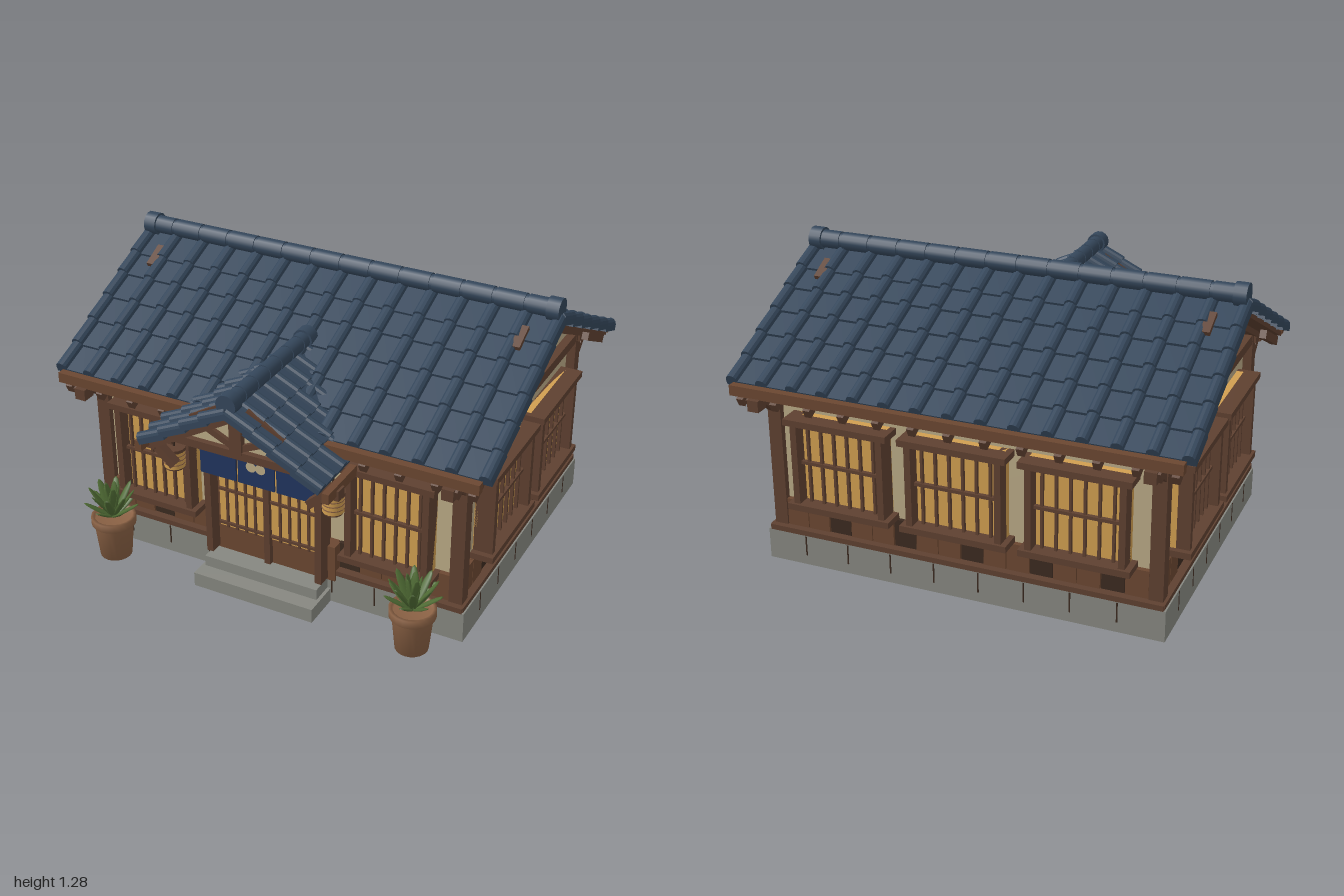
import * as THREE from 'three';

const mat = (name, color) => Object.assign(new THREE.MeshStandardMaterial({ color }), { name });
const M = {
  cream: mat('plaster', 0xb9a985), gold: mat('paper glow', 0xd09e50), wood: mat('timber', 0x5e4030),
  dark: mat('dark timber', 0x3b2a20), plank: mat('plank', 0x6b4731), tile: mat('roof tile', 0x34465a),
  stone: mat('stone', 0x868780), green: mat('leaf', 0x4f6b34), navy: mat('curtain cloth', 0x20345e),
  clay: mat('clay', 0x8a6144),
};
const MID = -0.108; // z of the main ridge

function add(parent, name, geo, m, x = 0, y = 0, z = 0) {
  const mesh = new THREE.Mesh(geo, m);
  mesh.name = name;
  mesh.position.set(x, y, z);
  parent.add(mesh);
  return mesh;
}
const box = (p, name, m, w, h, d, x, y, z) => add(p, name, new THREE.BoxGeometry(w, h, d), m, x, y, z);
function group(parent, name, x = 0, y = 0, z = 0, ry = 0) {
  const g = new THREE.Group();
  g.name = name;
  g.position.set(x, y, z);
  g.rotation.y = ry;
  parent.add(g);
  return g;
}
// square beam between two points of the local XY plane
function beam(p, name, m, x1, y1, x2, y2, t, d, z = 0) {
  const b = box(p, name, m, Math.hypot(x2 - x1, y2 - y1), t, d, (x1 + x2) / 2, (y1 + y2) / 2, z);
  b.rotation.z = Math.atan2(y2 - y1, x2 - x1);
  return b;
}

// tiled slope: ridge along x, falling towards +z, in overlapping ribbed courses
function tiledSlope(parent, name, width, run, slope, courses, gaps, r) {
  const g = group(parent, name);
  g.rotation.x = Math.atan(slope);
  const len = run * Math.hypot(1, slope), step = len / courses, pitch = (width - 2 * r) / gaps;
  const s = new THREE.Shape();
  s.moveTo(-width / 2, -0.025);
  s.lineTo(width / 2, -0.025);
  s.lineTo(width / 2, 0);
  for (let i = gaps; i >= 0; i--) {
    const c = -width / 2 + r + i * pitch;
    for (let k = 0; k <= 6; k++) s.lineTo(c + r * Math.cos(k * Math.PI / 6), r * Math.sin(k * Math.PI / 6));
  }
  const geo = new THREE.ExtrudeGeometry(s, { depth: step + 0.015, bevelEnabled: false });
  for (let k = 0; k < courses; k++) {
    const c = add(g, 'tileCourse', geo, M.tile, 0, -0.004, k * step - (k ? 0.015 : 0));
    c.rotation.x = -0.09;
  }
  box(g, 'roofDeck', M.wood, width - 0.06, 0.02, len - 0.02, 0, -0.034, len / 2 - 0.01);
  return g;
}
// ridge roll along x made of slightly separated segments
function ridgeRoll(parent, width, n, r, y) {
  const step = width / n;
  const roll = (name, rad, len, x) => {
    add(parent, name, new THREE.CylinderGeometry(rad, rad, len, 14), M.tile, x, y, 0).rotation.z = Math.PI / 2;
  };
  roll('ridgeCore', r * 0.88, width, 0);
  for (let i = 0; i < n; i++) roll('ridgeTile', r, step * 0.9, -width / 2 + step * (i + 0.5));
  for (const s of [-1, 1]) roll('ridgeEnd', r * 1.25, 0.055, s * (width / 2 - 0.02));
}

// lattice window standing out towards +z
function latticeWindow(parent, x, y, z, ry, w, h) {
  const g = group(parent, 'window', x, y, z, ry);
  box(g, 'paper', M.gold, w, h, 0.03, 0, 0, 0.02);
  for (const s of [-1, 1]) {
    box(g, 'frameRail', M.wood, w + 0.05, 0.028, 0.1, 0, s * (h / 2 - 0.014), 0.055);
    box(g, 'frameStile', M.wood, 0.028, h, 0.085, s * (w / 2 - 0.014), 0, 0.05);
  }
  for (let i = 1; i < 7; i++) box(g, 'bar', M.wood, 0.011, h - 0.04, 0.015, -w / 2 + (w * i) / 7, 0, 0.05);
  box(g, 'crossBar', M.wood, w - 0.03, 0.014, 0.018, 0, 0, 0.053);
}

// plank skirting, stone joints and beams of one wall, facing +z
function wallTrim(parent, name, x, z, ry, len, baseOut) {
  const g = group(parent, name, x, 0, z, ry);
  const n = Math.round(len / 0.1), w = len / n;
  for (let i = 0; i < n; i++)
    box(g, 'skirtPlank', i % 3 === 2 ? M.dark : M.plank, w - 0.004, 0.125, i % 3 === 2 ? 0.018 : 0.028, -len / 2 + w * (i + 0.5), 0.222, 0.005);
  box(g, 'sill', M.wood, len + 0.14, 0.024, 0.06, 0, 0.15, 0.02);
  box(g, 'wallPlate', M.wood, len + 0.14, 0.045, 0.05, 0, 0.81, 0.01);
  for (let q = -len / 2 + 0.1; q < len / 2; q += 0.2) box(g, 'stoneJoint', M.dark, 0.006, 0.09, 0.004, q, 0.09, baseOut);
}

function pottedPlant(parent, x, z) {
  const g = group(parent, 'pottedPlant', x, 0, z);
  const profile = [[0, 0.005], [0.07, 0.005], [0.086, 0.165], [0.098, 0.168], [0.098, 0.203], [0.084, 0.203], [0.08, 0.185], [0, 0.185]];
  add(g, 'pot', new THREE.LatheGeometry(profile.map(p => new THREE.Vector2(...p)), 20), M.clay);
  [[7, 0.95, 0.15], [8, 0.6, 0.18], [5, 0.2, 0.17]].forEach(([n, tilt, len], ring) => {
    for (let i = 0; i < n; i++) {
      const pivot = group(g, 'leaf', 0, 0.19, 0, (i / n) * Math.PI * 2 + ring * 0.4);
      const geo = new THREE.SphereGeometry(0.5, 6, 6).scale(0.042, len, 0.012).translate(0, len / 2, 0);
      add(pivot, 'leafBlade', geo, M.green).rotation.x = tilt;
    }
  });
}

function lantern(parent, x, z) {
  const g = group(parent, 'lantern', x, 0, z);
  const cyl = (n, m, r, h, y) => add(g, n, new THREE.CylinderGeometry(r, r, h, 14), m, 0, y, 0);
  cyl('lanternPaper', M.gold, 0.045, 0.08, 0.61);
  for (const y of [0.59, 0.61, 0.63]) cyl('lanternHoop', M.clay, 0.047, 0.004, y);
  cyl('lanternTop', M.wood, 0.05, 0.014, 0.655);
  cyl('lanternBase', M.wood, 0.04, 0.014, 0.568);
  cyl('lanternCord', M.dark, 0.005, 0.1, 0.71);
}

export function createModel() {
  const root = new THREE.Group();
  root.name = 'house';

  // stone base and steps
  box(root, 'base', M.stone, 1.78, 0.14, 1.345, 0, 0.07, MID);
  box(root, 'lowerStep', M.stone, 0.57, 0.065, 0.2, 0, 0.0325, 0.635);
  box(root, 'upperStep', M.stone, 0.54, 0.05, 0.12, 0, 0.09, 0.605);

  // plaster walls with gables
  const s = new THREE.Shape([[-0.62, 0.14], [0.62, 0.14], [0.62, 0.82], [0, 1.14], [-0.62, 0.82]].map(p => new THREE.Vector2(...p)));
  const walls = new THREE.ExtrudeGeometry(s, { depth: 1.66, bevelEnabled: false }).translate(0, 0, -0.83);
  add(root, 'walls', walls, M.cream, 0, 0, MID).rotation.y = Math.PI / 2;
  wallTrim(root, 'frontTrim', 0, 0.515, 0, 1.62, 0.05);
  wallTrim(root, 'backTrim', 0, -0.731, Math.PI, 1.62, 0.05);

  for (const sx of [-1, 1]) {
    const ry = sx * Math.PI / 2;
    wallTrim(root, 'sideTrim', sx * 0.833, MID, ry, 1.19, 0.057);
    for (const sz of [-1, 1]) box(root, 'cornerPost', M.wood, 0.06, 0.71, 0.06, sx * 0.84, 0.485, MID + sz * 0.617);
    for (const z of [0.148, -0.375]) latticeWindow(root, sx * 0.83, 0.495, z, ry, 0.43, 0.41);
    latticeWindow(root, sx * 0.552, 0.488, 0.51, 0, 0.37, 0.46);

    // gable timbers
    const g = group(root, 'gableFrame', sx * 0.845, 0, MID, ry);
    box(g, 'kingPost', M.wood, 0.06, 0.32, 0.05, 0, 0.98, 0.005);
    for (const k of [-1, 1]) {
      beam(g, 'strut', M.wood, k * 0.02, 0.855, k * 0.36, 0.97, 0.035, 0.04);
      beam(g, 'gableRafter', M.wood, 0, 1.145, k * 0.775, 0.765, 0.05, 0.05, 0.012);
      beam(g, 'rafterPatch', M.wood, k * 0.09, 1.172, k * 0.19, 1.122, 0.02, 0.04, 0.015);
      beam(g, 'eaveBracket', M.wood, k * 0.62, 0.69, k * 0.74, 0.79, 0.035, 0.04);
      box(g, 'eaveBlock', M.wood, 0.06, 0.05, 0.05, k * 0.765, 0.77, 0);
    }
  }
  for (const x of [-0.52, 0, 0.52]) latticeWindow(root, x, 0.493, -0.728, Math.PI, 0.42, 0.415);

  // main roof
  for (const side of [0, 1]) {
    const g = group(root, side ? 'backRoof' : 'frontRoof', 0, 1.2, MID, side * Math.PI);
    const slope = tiledSlope(g, 'roofSlope', 2, 0.735, 0.5, 6, 14, 0.027);
    for (let i = 0; i < 13; i++)
      if (side || Math.abs(i - 6) > 2) box(slope, 'rafter', M.wood, 0.03, 0.04, 0.26, -0.93 + i * 0.155, -0.062, 0.74);
    box(g, 'fascia', M.plank, 1.93, 0.045, 0.035, 0, -0.385, 0.757);
  }
  ridgeRoll(group(root, 'mainRidge', 0, 0, MID), 1.95, 14, 0.04, 1.235);

  // porch roof
  for (const sx of [-1, 1]) {
    const g = group(root, 'porchRoof', 0, 1.015, 0.57, sx * Math.PI / 2);
    tiledSlope(g, 'porchSlope', 0.66, 0.41, 0.58, 4, 7, 0.022);
    box(g, 'porchFascia', M.plank, 0.24, 0.045, 0.03, -sx * 0.19, -0.275, 0.425);
  }
  ridgeRoll(group(root, 'porchRidge', 0, 0, 0.55, Math.PI / 2), 0.66, 7, 0.036, 1.04);

  // porch gable and supports
  const porch = group(root, 'porchGable', 0, 0, 0.8);
  const tri = new THREE.Shape([[-0.3, 0.79], [0.3, 0.79], [0, 0.965]].map(p => new THREE.Vector2(...p)));
  add(porch, 'porchPlaster', new THREE.ExtrudeGeometry(tri, { depth: 0.03, bevelEnabled: false }), M.cream, 0, 0, -0.03);
  box(porch, 'porchTie', M.wood, 0.64, 0.035, 0.05, 0, 0.785, 0);
  box(porch, 'porchKingPost', M.wood, 0.055, 0.19, 0.045, 0, 0.88, 0.005);
  for (const k of [-1, 1]) {
    beam(porch, 'porchRafter', M.wood, 0, 0.965, k * 0.4, 0.733, 0.045, 0.045, 0.01);
    beam(porch, 'porchRafterPatch', M.wood, k * 0.05, 0.994, k * 0.21, 0.901, 0.02, 0.035, 0);
    beam(porch, 'porchStrut', M.wood, k * 0.02, 0.815, k * 0.15, 0.875, 0.028, 0.035);
    beam(porch, 'porchBracket', M.wood, k * 0.31, 0.635, k * 0.41, 0.725, 0.035, 0.04, -0.01);
    box(porch, 'porchBlock', M.wood, 0.06, 0.045, 0.05, k * 0.42, 0.72, -0.01);
    box(porch, 'porchSideBeam', M.wood, 0.045, 0.045, 0.3, k * 0.34, 0.755, -0.15);
    lantern(root, k * 0.37, 0.705);
    pottedPlant(root, k * 0.72, 0.69);
  }

  // sliding doors
  const door = group(root, 'door', 0, 0, 0.56);
  box(door, 'doorBack', M.plank, 0.52, 0.66, 0.07, 0, 0.445, -0.02);
  box(door, 'doorHead', M.wood, 0.62, 0.04, 0.1, 0, 0.78, 0.02);
  for (const k of [-1, 1]) {
    box(door, 'doorSidePanel', M.plank, 0.05, 0.17, 0.05, k * 0.285, 0.2, -0.01);
    box(door, 'doorJamb', M.wood, 0.03, 0.66, 0.08, k * 0.262, 0.455, 0.035);
    box(door, 'doorPaper', M.gold, 0.22, 0.49, 0.008, k * 0.125, 0.485, 0.018);
    for (let i = 1; i < 5; i++) box(door, 'doorBar', M.wood, 0.01, 0.49, 0.012, k * (0.015 + i * 0.045), 0.485, 0.026);
    for (const y of [0.26, 0.43, 0.6]) box(door, 'doorCrossBar', M.wood, 0.22, 0.012, 0.014, k * 0.125, y, 0.026);
  }
  box(door, 'doorMeeting', M.wood, 0.028, 0.64, 0.03, 0, 0.44, 0.025);

  // split curtain with a blossom
  const curtain = group(root, 'curtain', 0, 0, 0.67);
  for (const x of [-0.18, 0, 0.18]) box(curtain, 'curtainPanel', M.navy, 0.17, 0.21, 0.008, x, 0.655, 0);
  box(curtain, 'curtainRod', M.wood, 0.6, 0.014, 0.014, 0, 0.765, 0);
  for (let i = 0; i < 5; i++) {
    const a = Math.PI / 2 + (i * Math.PI * 2) / 5;
    add(curtain, 'petal', new THREE.CircleGeometry(0.024, 14), M.cream, 0.037 * Math.cos(a), 0.67 + 0.037 * Math.sin(a), 0.006);
  }
  add(curtain, 'blossomCentre', new THREE.CircleGeometry(0.011, 12), M.cream, 0, 0.67, 0.007);
  return root;
}
